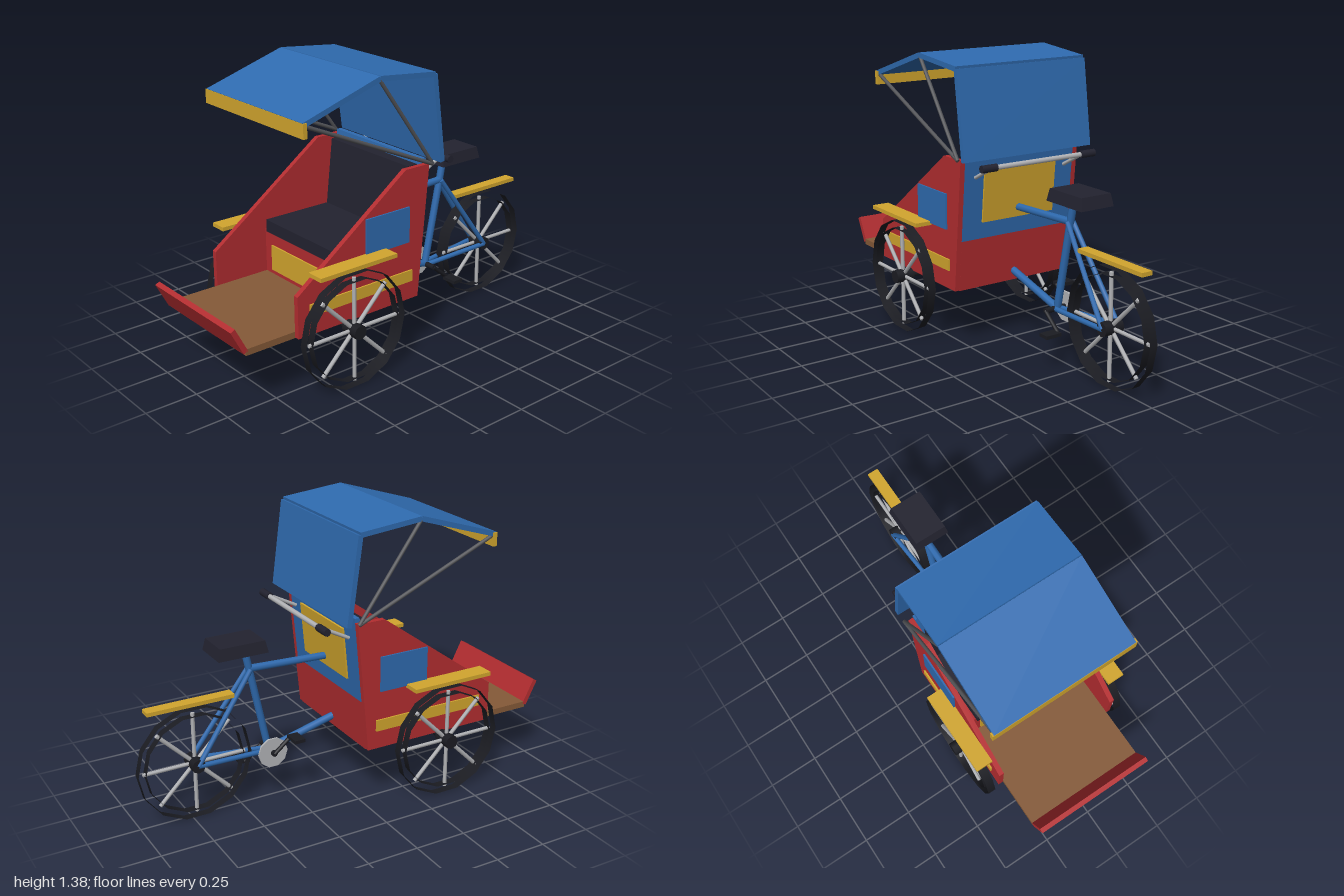
import * as THREE from 'three';

const mat = (name, color, side = THREE.FrontSide) => {
  const m = new THREE.MeshStandardMaterial({ color, side });
  m.name = name;
  return m;
};

export function createModel() {
  const red = mat('red paint', 0xb32d30);
  const blue = mat('blue paint', 0x2f6bb0);
  const yellow = mat('yellow paint', 0xd2a62e);
  const black = mat('black vinyl', 0x232330);
  const rubber = mat('tyre rubber', 0x1b1c22, THREE.DoubleSide);
  const brown = mat('wood', 0x855a38);
  const silver = mat('silver metal', 0xb4b5b8);
  const steel = mat('dark steel', 0x55565a);

  const model = new THREE.Group();
  model.name = 'cycleRickshaw';

  const add = (name, geometry, material, parent = model) => {
    const mesh = new THREE.Mesh(geometry, material);
    mesh.name = name;
    parent.add(mesh);
    return mesh;
  };
  // Box given by its limits on each axis
  const box = (name, material, [x0, x1], [y0, y1], [z0, z1]) => {
    const g = new THREE.BoxGeometry(x1 - x0, y1 - y0, z1 - z0);
    g.translate((x0 + x1) / 2, (y0 + y1) / 2, (z0 + z1) / 2);
    return add(name, g, material);
  };
  // Side profile of [z, y] points extruded across x
  const slab = (name, material, points, x0, x1) => {
    const shape = new THREE.Shape(points.map(([z, y]) => new THREE.Vector2(z, y)));
    const g = new THREE.ExtrudeGeometry(shape, { depth: x1 - x0, bevelEnabled: false });
    g.rotateY(-Math.PI / 2).translate(x1, 0, 0);
    return add(name, g, material);
  };
  // Flat board between two [z, y] points
  const board = (name, material, [z0, y0], [z1, y1], t, halfWidth) => {
    const len = Math.hypot(z1 - z0, y1 - y0);
    const nz = (-(y1 - y0) / len) * t / 2, ny = ((z1 - z0) / len) * t / 2;
    return slab(name, material, [[z0 - nz, y0 - ny], [z1 - nz, y1 - ny],
      [z1 + nz, y1 + ny], [z0 + nz, y0 + ny]], -halfWidth, halfWidth);
  };
  // Round bar between two [x, y, z] points
  const bar = (name, material, a, b, r, sides = 8, parent = model) => {
    const p = new THREE.Vector3(...a), q = new THREE.Vector3(...b);
    const d = q.clone().sub(p);
    const mesh = add(name, new THREE.CylinderGeometry(r, r, d.length(), sides), material, parent);
    mesh.position.copy(p).add(q).multiplyScalar(0.5);
    mesh.quaternion.setFromUnitVectors(new THREE.Vector3(0, 1, 0), d.normalize());
    return mesh;
  };

  // Wheels: open outer and inner tyre bands, eight spokes and a hub
  const wheel = (name, x, z, hubHalf) => {
    const g = new THREE.Group();
    g.name = name;
    g.position.set(x, 0.277, z);
    for (const [part, r] of [['tyreOuter', 0.277], ['tyreInner', 0.24]]) {
      const band = new THREE.CylinderGeometry(r, r, 0.04, 14, 1, true).rotateZ(Math.PI / 2);
      add(part, band, rubber, g);
    }
    for (let i = 0; i < 4; i++) {
      const a = (i * Math.PI) / 4, c = Math.cos(a) * 0.25, s = Math.sin(a) * 0.25;
      bar('spokePair', silver, [0, -s, -c], [0, s, c], 0.01, 6, g);
    }
    bar('hub', rubber, [-hubHalf, 0, 0], [hubHalf, 0, 0], 0.034, 8, g);
    model.add(g);
  };
  wheel('leftWheel', 0.373, 0.41, 0.045);
  wheel('rightWheel', -0.373, 0.41, 0.045);
  wheel('rearWheel', 0, -0.722, 0.05);
  bar('axle', rubber, [-0.35, 0.277, 0.41], [0.35, 0.277, 0.41], 0.017);

  // Cabin sides with painted plates, fenders and hood struts
  const sideProfile = [[0, 0.3], [0.68, 0.3], [0.68, 0.495], [0.08, 0.93], [-0.06, 0.93]];
  for (const s of [1, -1]) {
    const span = (a, b) => (s > 0 ? [a, b] : [-b, -a]);
    slab('sidePanel', red, sideProfile, ...span(0.305, 0.33));
    box('sideWindow', blue, span(0.33, 0.338), [0.585, 0.755], [0.06, 0.31]);
    box('sideStripe', yellow, span(0.33, 0.338), [0.39, 0.445], [0.04, 0.62]);
    box('fender', yellow, span(0.33, 0.415), [0.575, 0.594], [0.2, 0.62]);
    bar('hoodFrontStrut', steel, [s * 0.347, 0.933, -0.064], [s * 0.347, 1.24, 0.64], 0.009);
    bar('hoodMiddleStrut', steel, [s * 0.347, 0.933, -0.064], [s * 0.347, 1.365, 0.246], 0.009);
  }

  // Seat, back and floor
  slab('seatBase', red, [[0, 0.297], [0.4, 0.297], [0.4, 0.54], [-0.023, 0.54]], -0.305, 0.305);
  box('seatBasePlate', yellow, [-0.25, 0.25], [0.35, 0.475], [0.4, 0.408]);
  box('seatCushion', black, [-0.275, 0.275], [0.54, 0.6], [0.02, 0.415]);
  slab('backrest', black, [[-0.008, 0.6], [0.055, 0.6], [0.02, 0.92], [-0.04, 0.92]], -0.275, 0.275);
  slab('backPanel', blue, [[-0.023, 0.54], [0.002, 0.54], [-0.037, 0.95], [-0.062, 0.95]], -0.305, 0.305);
  board('backPlate', yellow, [-0.035, 0.62], [-0.059, 0.87], 0.009, 0.2);
  box('footboard', brown, [-0.305, 0.305], [0.297, 0.327], [0.4, 0.93]);
  board('footboardLip', red, [0.93, 0.312], [0.99, 0.43], 0.024, 0.305);

  // Folding hood
  const hood = [[0.65, 1.245], [0.246, 1.372], [-0.064, 1.342], [-0.118, 0.933]];
  for (let i = 0; i < 3; i++) board('hoodPanel', blue, hood[i + 1], hood[i], 0.024, 0.355);
  box('hoodValance', yellow, [-0.362, 0.362], [1.19, 1.255], [0.635, 0.655]);

  // Cycle frame
  const crank = [0, 0.254, -0.348], seatJoint = [0, 0.682, -0.435];
  bar('topTube', blue, [0, 0.666, -0.043], seatJoint, 0.018);
  bar('downTube', blue, [0, 0.345, 0], crank, 0.018);
  bar('seatTube', blue, crank, [0, 0.794, -0.46], 0.018);
  for (const s of [1, -1]) {
    const end = [s * 0.045, 0.277, -0.722];
    bar('seatStay', blue, [s * 0.015, 0.682, -0.435], end, 0.012);
    bar('chainStay', blue, [s * 0.015, 0.254, -0.348], end, 0.012);
  }
  box('rearMudguard', yellow, [-0.028, 0.028], [0.567, 0.586], [-0.945, -0.525]);

  // Saddle: a block with its top drawn in
  const saddle = new THREE.BoxGeometry(0.178, 0.057, 0.245);
  const pos = saddle.attributes.position;
  for (let i = 0; i < pos.count; i++) {
    if (pos.getY(i) > 0) pos.setXYZ(i, pos.getX(i) * 0.9, pos.getY(i), pos.getZ(i) * 0.9);
  }
  saddle.computeVertexNormals();
  saddle.translate(0, 0.808, -0.5);
  add('saddle', saddle, black);

  // Handlebar
  bar('handlebar', silver, [-0.25, 0.915, -0.205], [0.25, 0.915, -0.205], 0.012);
  for (const s of [1, -1]) {
    bar('handlebarStem', silver, [s * 0.25, 0.842, -0.06], [s * 0.25, 0.915, -0.2], 0.009);
    bar('grip', black, [s * 0.235, 0.915, -0.205], [s * 0.315, 0.915, -0.205], 0.018);
  }

  // Chainring, cranks and pedals
  bar('chainring', silver, [-0.052, 0.254, -0.348], [-0.042, 0.254, -0.348], 0.075, 10);
  bar('crankSpindle', rubber, [-0.07, 0.254, -0.348], [0.07, 0.254, -0.348], 0.014);
  for (const s of [1, -1]) {
    const y = 0.254 - s * 0.076, z = -0.348 - s * 0.093;
    bar('crankArm', rubber, [s * 0.066, 0.254, -0.348], [s * 0.066, y, z], 0.01);
    const px = s > 0 ? [0.066, 0.148] : [-0.148, -0.066];
    box('pedal', rubber, px, [y - 0.008, y + 0.008], [z - 0.027, z + 0.027]);
  }
  return model;
}
